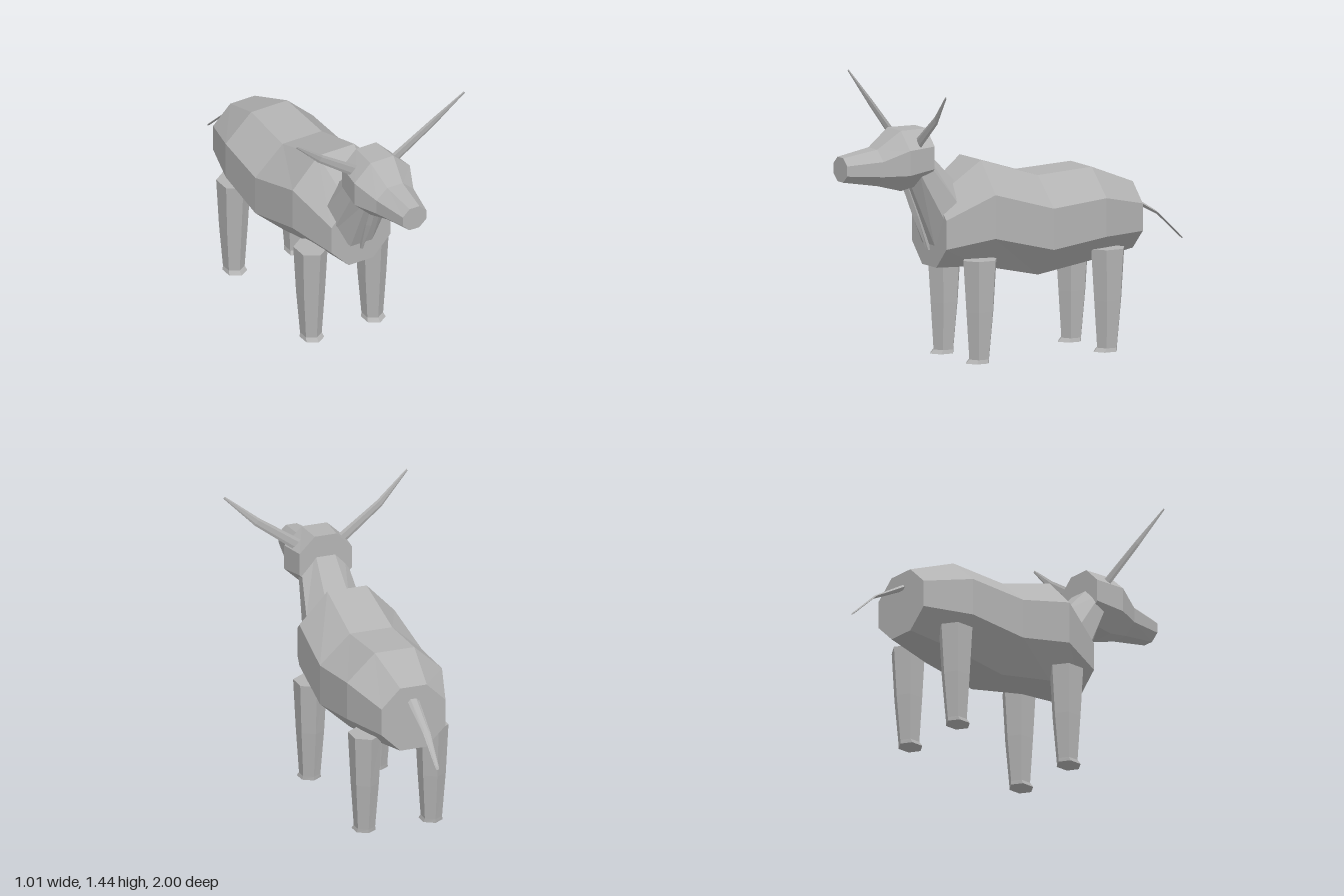
import * as THREE from 'three';

// Faceted loft through rings { c: centre, u, v: half-axis vectors }, with end caps
function loft(rings, sides, phase = 0) {
  const loops = rings.map(({ c, u, v }) => Array.from({ length: sides }, (_, i) => {
    const a = phase + (i / sides) * Math.PI * 2;
    return new THREE.Vector3(...c)
      .addScaledVector(new THREE.Vector3(...u), Math.cos(a))
      .addScaledVector(new THREE.Vector3(...v), Math.sin(a));
  }));
  const first = rings[0], last = rings[rings.length - 1];
  const dir = new THREE.Vector3(...last.c).sub(new THREE.Vector3(...first.c));
  const normal = new THREE.Vector3(...first.u).cross(new THREE.Vector3(...first.v));
  if (normal.dot(dir) < 0) loops.forEach((l) => l.reverse());
  const pts = [];
  for (let r = 0; r < loops.length - 1; r++) {
    for (let i = 0; i < sides; i++) {
      const j = (i + 1) % sides;
      const a = loops[r][i], b = loops[r][j], c = loops[r + 1][j], d = loops[r + 1][i];
      pts.push(a, b, c, a, c, d);
    }
  }
  const start = loops[0], end = loops[loops.length - 1];
  for (let i = 1; i < sides - 1; i++) {
    pts.push(start[0], start[i + 1], start[i], end[0], end[i], end[i + 1]);
  }
  const geometry = new THREE.BufferGeometry().setFromPoints(pts);
  geometry.computeVertexNormals();
  return geometry;
}

// Octagon rings with flat sides; w, h are the half width and half height across flats
const OCT = Math.PI / 8;
const K = 1 / Math.cos(OCT);
const octRing = ([z, y, w, h, lean = 0]) => ({ c: [0, y, z], u: [w * K, 0, 0], v: [0, h * K, lean * K] });

export function createModel() {
  const group = new THREE.Group();
  const hide = new THREE.MeshStandardMaterial({ color: 0xb3b3b3 });
  hide.name = 'grey hide';
  const add = (name, geometry) => {
    const mesh = new THREE.Mesh(geometry, hide);
    mesh.name = name;
    group.add(mesh);
  };

  // Body: z, y, half width, half height
  add('body', loft([
    [0.48, 0.668, 0.175, 0.181],
    [0.24, 0.755, 0.26, 0.272],
    [-0.09, 0.668, 0.28, 0.256],
    [-0.41, 0.7, 0.26, 0.24],
    [-0.67, 0.669, 0.175, 0.171],
  ].map(octRing), 8, OCT));

  // Head, from the poll to the muzzle
  add('head', loft([
    [0.53, 1.067, 0.143, 0.141],
    [0.685, 1.053, 0.165, 0.155],
    [0.81, 1.024, 0.11, 0.094],
    [1.0, 1.024, 0.07, 0.063],
  ].map(octRing), 8, OCT));

  // Neck, with leaning end rings
  add('neck', loft([
    [0.43, 0.765, 0.155, 0.165, -0.055],
    [0.59, 1.03, 0.12, 0.09, -0.035],
  ].map(octRing), 8, OCT));

  // Dewlap: a thin blade under the throat
  add('dewlap', loft([
    { c: [0, 0.93, 0.605], u: [0.022, 0, 0], v: [0, 0, 0.04] },
    { c: [0, 0.75, 0.535], u: [0.02, 0, 0], v: [0, 0, 0.042] },
    { c: [0, 0.57, 0.485], u: [0.008, 0, 0], v: [0, 0, 0.01] },
  ], 6, Math.PI / 6));

  // Tail, drooping backwards
  add('tail', loft([
    { c: [0, 0.775, -0.64], u: [0.033, 0, 0], v: [0, 0.028, 0.015] },
    { c: [0, 0.655, -0.85], u: [0.02, 0, 0], v: [0, 0.014, 0.01] },
    { c: [0, 0.517, -0.996], u: [0.01, 0, 0], v: [0, 0.009, 0.004] },
  ], 6));

  for (const s of [1, -1]) {
    const side = s > 0 ? 'left' : 'right';

    // Horns: flat, tapered and swept slightly forwards
    add(side + 'Horn', loft([
      { c: [s * 0.11, 1.135, 0.612], u: [s * -0.018, 0.025, 0], v: [0, 0, 0.006] },
      { c: [s * 0.335, 1.293, 0.632], u: [s * -0.013, 0.018, 0], v: [0, 0, 0.005] },
      { c: [s * 0.5, 1.438, 0.668], u: [s * -0.004, 0.005, 0], v: [0, 0, 0.003] },
    ], 6));

    // Legs: hexagonal, ending in a low flared hoof
    for (const [name, z] of [['Front', 0.288], ['Rear', -0.46]]) {
      const legRing = (y, dz, w, d) => ({ c: [s * 0.183, y, z + dz], u: [0, 0, d], v: [w / 0.866, 0, 0] });
      add(side + name + 'Leg', loft([
        legRing(0, 0.014, 0.053, 0.068),
        legRing(0.02, 0.004, 0.047, 0.058),
        legRing(0.265, 0, 0.062, 0.079),
        legRing(0.53, 0, 0.073, 0.097),
      ], 6));
    }
  }
  return group;
}
